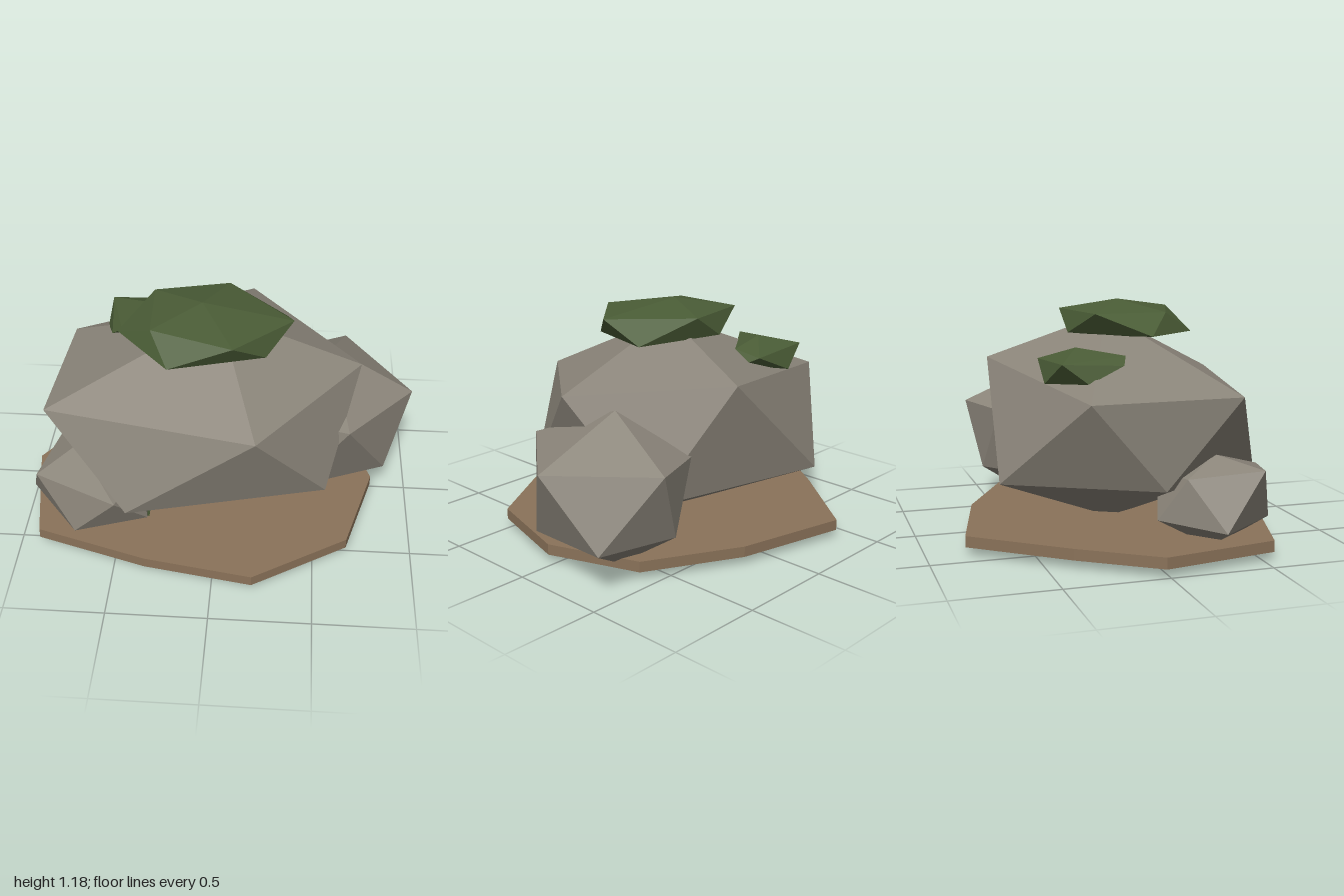
import * as THREE from 'three';
import { ConvexGeometry } from 'three/addons/geometries/ConvexGeometry.js';

const paint = (name, color) => {
  const m = new THREE.MeshStandardMaterial({ color, flatShading: true });
  m.name = name;
  return m;
};

export function createModel() {
  const group = new THREE.Group();
  const stone = paint('warm grey stone', 0x8a8479);
  const moss = paint('dark green moss', 0x4a5c36);
  const earth = paint('brown earth', 0x8a7259);

  // Faceted lump: crown point, upper ring, lower ring, foot point
  const lump = (name, material, crown, upper, lower, foot) => {
    const points = [crown, ...upper, ...lower, foot].map((p) => new THREE.Vector3(...p));
    const mesh = new THREE.Mesh(new ConvexGeometry(points), material);
    mesh.name = name;
    group.add(mesh);
  };

  // Irregular ten-sided slab of ground, outline as x, z
  const outline = [
    [-0.4, -0.815], [0.17, -0.68], [0.64, -0.43], [0.81, 0.03], [0.67, 0.52],
    [0.2, 0.81], [-0.34, 0.72], [-0.9, 0.55], [-1, -0.02], [-0.75, -0.38],
  ].map(([x, z]) => new THREE.Vector2(x, -z));
  const slab = new THREE.ExtrudeGeometry(new THREE.Shape(outline), { depth: 0.055, bevelEnabled: false });
  slab.rotateX(-Math.PI / 2);
  slab.translate(0, 0.042, 0);
  const ground = new THREE.Mesh(slab, earth);
  ground.name = 'groundSlab';
  group.add(ground);

  // Boulders
  lump('mainBoulder', stone, [-0.01, 1.1, 0],
    [[0.14, 0.88, -0.59], [-0.8, 0.76, -0.31], [-0.84, 0.77, 0.41], [0.2, 0.785, 0.63], [0.71, 0.83, 0.01]],
    [[-0.42, 0.34, -0.65], [-0.8, 0.34, 0.05], [-0.43, 0.335, 0.65], [0.55, 0.333, 0.41], [0.54, 0.33, -0.4]],
    [-0.09, 0.05, 0]);
  lump('leftBoulder', stone, [0.565, 0.775, -0.2],
    [[1, 0.555, -0.145], [0.66, 0.585, 0.27], [0.22, 0.5, 0.05], [0.35, 0.56, -0.49], [0.66, 0.575, -0.615]],
    [[0.92, 0.22, -0.45], [0.87, 0.185, 0.04], [0.38, 0.165, 0.22], [0.2, 0.2, -0.22], [0.52, 0.22, -0.55]],
    [0.595, 0.015, -0.25]);
  lump('rightBoulder', stone, [-0.71, 0.485, 0.32],
    [[-0.89, 0.43, 0.5], [-0.485, 0.375, 0.64], [-0.4, 0.38, 0.3], [-0.58, 0.4, 0.08], [-0.83, 0.4, 0.14]],
    [[-0.965, 0.165, 0.285], [-0.7, 0.16, 0.61], [-0.345, 0.17, 0.5], [-0.38, 0.18, 0.18], [-0.76, 0.2, 0.02]],
    [-0.605, 0, 0.36]);

  // Moss patches
  lump('topMoss', moss, [-0.09, 1.18, 0.035],
    [[-0.345, 1.125, -0.155], [0.03, 1.13, -0.235], [0.36, 1.13, 0.09], [0.075, 1.13, 0.355], [-0.33, 1.125, 0.21]],
    [[-0.51, 1.025, 0.08], [-0.135, 1.02, -0.235], [0.325, 1.02, -0.12], [0.23, 1.02, 0.25], [-0.235, 1.02, 0.38]],
    [-0.1, 0.99, 0.04]);
  lump('backMoss', moss, [-0.4, 0.975, -0.27],
    [[-0.6, 0.92, -0.39], [-0.235, 0.91, -0.415], [-0.235, 0.93, -0.255], [-0.51, 0.94, -0.055]],
    [[-0.45, 0.815, -0.435], [-0.185, 0.87, -0.345], [-0.615, 0.825, -0.265], [-0.565, 0.9, -0.08]],
    [-0.4, 0.82, -0.25]);
  lump('lowMoss', moss, [-0.43, 0.185, 0.43],
    [[-0.36, 0.165, 0.39], [-0.36, 0.165, 0.46], [-0.5, 0.165, 0.43]],
    [[-0.34, 0.145, 0.38], [-0.34, 0.145, 0.465], [-0.5, 0.145, 0.43]],
    [-0.43, 0.13, 0.43]);

  return group;
}
